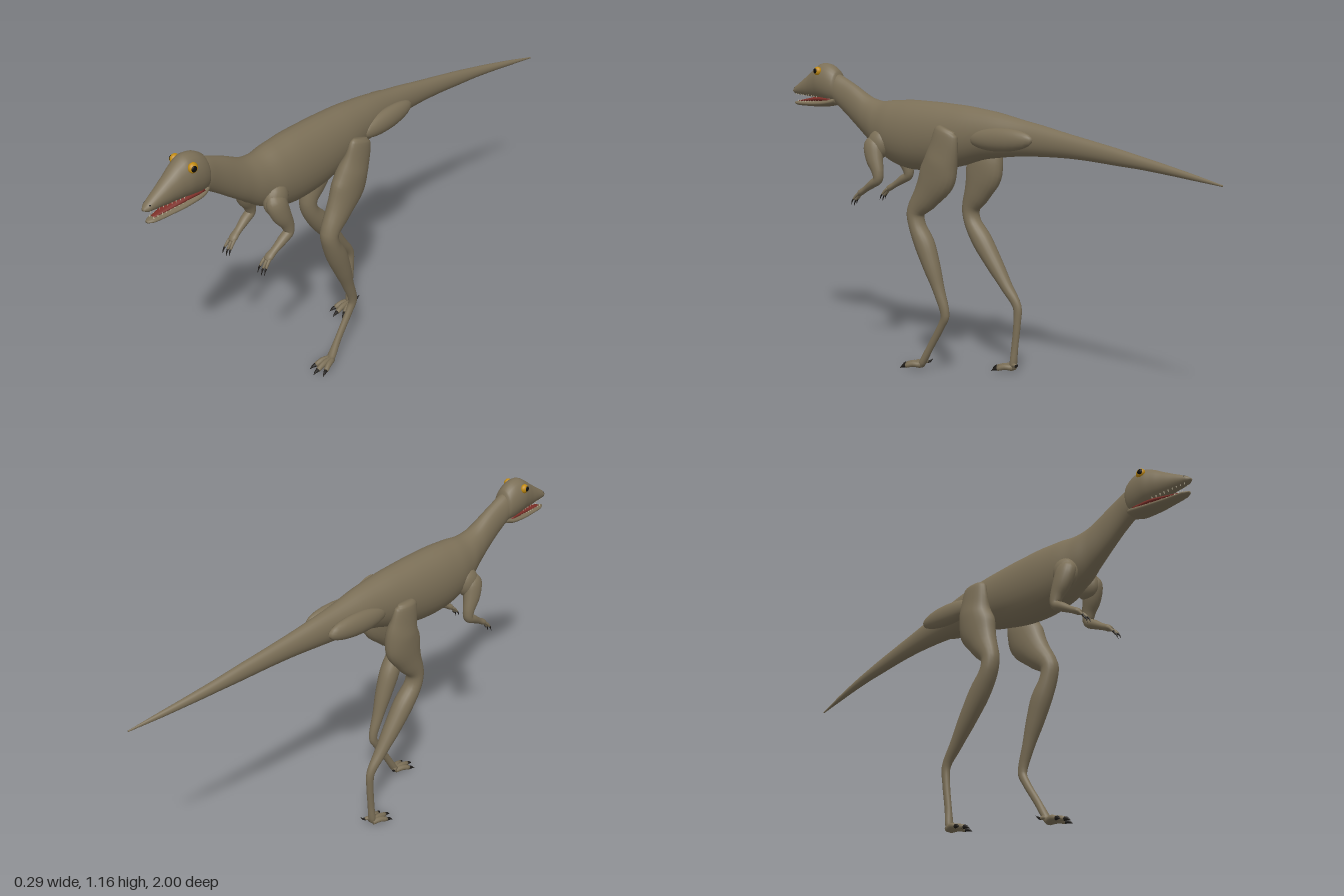
import * as THREE from 'three';

const mat = (name, color) => Object.assign(new THREE.MeshStandardMaterial({ color }), { name });
const skin = mat('skin', 0x7b6f57);
const claw = mat('claw', 0x1e1b18);
const iris = mat('iris', 0xc08a12);
const black = mat('pupil', 0x0c0b0a);
const mouthRed = mat('mouth', 0x7c2f28);
const ivory = mat('teeth', 0xd8cfb4);

// Smooth skin over elliptical sections [x, y, z, halfWidth, halfDepth]
function loft(name, sections, { sides = 20, steps = 4, upright = false, material = skin } = {}) {
  const path = new THREE.CatmullRomCurve3(sections.map(s => new THREE.Vector3(s[0], s[1], s[2])));
  const size = new THREE.CatmullRomCurve3(sections.map(s => new THREE.Vector3(s[3], s[4], 0)), false, 'catmullrom', 0.4);
  const n = (sections.length - 1) * steps;
  const pos = [], index = [];
  for (let i = 0; i <= n; i++) {
    const c = path.getPoint(i / n), r = size.getPoint(i / n);
    const t = upright ? new THREE.Vector3(0, 0, 1) : path.getTangent(i / n);
    const side = new THREE.Vector3(1, 0, 0).addScaledVector(t, -t.x).normalize();
    const up = new THREE.Vector3().crossVectors(t, side);
    for (let j = 0; j < sides; j++) {
      const a = j / sides * Math.PI * 2;
      const p = c.clone()
        .addScaledVector(side, Math.cos(a) * Math.max(r.x, 0.0005))
        .addScaledVector(up, Math.sin(a) * Math.max(r.y, 0.0005));
      pos.push(p.x, p.y, p.z);
      if (i === n) continue;
      const p0 = i * sides + j, p1 = i * sides + (j + 1) % sides;
      index.push(p0, p1, p0 + sides, p1, p1 + sides, p0 + sides);
    }
  }
  // End caps
  for (const [row, flip] of [[0, true], [n, false]]) {
    const c = path.getPoint(row / n), k = pos.length / 3;
    pos.push(c.x, c.y, c.z);
    for (let j = 0; j < sides; j++) {
      const a = row * sides + j, b = row * sides + (j + 1) % sides;
      index.push(k, flip ? b : a, flip ? a : b);
    }
  }
  const g = new THREE.BufferGeometry();
  g.setAttribute('position', new THREE.Float32BufferAttribute(pos, 3));
  g.setIndex(index);
  g.computeVertexNormals();
  const m = new THREE.Mesh(g, material);
  m.name = name;
  return m;
}

function blob(name, material, [x, y, z], [rx, ry, rz], tilt = 0) {
  const m = new THREE.Mesh(new THREE.SphereGeometry(1, 20, 14), material);
  m.name = name;
  m.position.set(x, y, z);
  m.scale.set(rx, ry, rz);
  m.rotation.x = tilt;
  return m;
}

// Sections given as [z, top, bottom, halfWidth, x]
const profile = rows => rows.map(([z, top, bot, w, x = 0]) => [x, (top + bot) / 2, z, w, (top - bot) / 2]);

// Toe or finger with a dark claw at its tip
function digit(name, from, to, r, clawLength, drop) {
  const a = new THREE.Vector3(...from), b = new THREE.Vector3(...to);
  const mid = a.clone().lerp(b, 0.5);
  mid.y += r * 0.5;
  const dir = b.clone().sub(a).normalize();
  const tip = b.clone().addScaledVector(dir, clawLength);
  tip.y -= drop;
  const g = new THREE.Group();
  g.name = name;
  g.add(loft(name + 'Flesh', [[...a, r, r], [...mid, r, r], [...b, r * 0.8, r * 0.8]], { sides: 10, steps: 3 }));
  const root = b.clone().addScaledVector(dir, -r * 0.4);
  const bend = root.clone().lerp(tip, 0.5);
  bend.y += drop * 0.4;
  g.add(loft(name + 'Claw', [[...root, r * 0.75, r * 0.75], [...bend, r * 0.5, r * 0.55], [...tip, 0.0005, 0.0005]],
    { sides: 8, steps: 3, material: claw }));
  return g;
}

function makeHead() {
  const head = new THREE.Group();
  head.name = 'head';
  head.add(loft('skull', profile([
    [0.735, 1.105, 1.035, 0.022], [0.75, 1.14, 1.012, 0.042], [0.785, 1.162, 1.012, 0.05], [0.825, 1.167, 1.02, 0.051],
    [0.86, 1.15, 1.025, 0.044], [0.9, 1.122, 1.029, 0.035], [0.95, 1.09, 1.034, 0.025], [0.985, 1.068, 1.038, 0.017],
    [1.0, 1.054, 1.046, 0.006]]), { upright: true, sides: 24 }));
  head.add(loft('lowerJaw', profile([
    [0.745, 1.035, 1.005, 0.03], [0.78, 1.026, 0.995, 0.038], [0.85, 1.016, 0.99, 0.034], [0.92, 1.011, 0.99, 0.025],
    [0.97, 1.009, 0.992, 0.018], [0.99, 1.005, 0.997, 0.007]]), { upright: true }));
  head.add(loft('mouthLining', profile([
    [0.77, 1.034, 1.008, 0.032], [0.84, 1.034, 1.01, 0.029], [0.91, 1.022, 1.008, 0.018], [0.965, 1.012, 1.006, 0.008]]),
    { upright: true, material: mouthRed }));
  for (const s of [1, -1]) {
    head.add(blob('eye', iris, [s * 0.041, 1.135, 0.822], [0.014, 0.018, 0.018]));
    head.add(blob('pupil', black, [s * 0.051, 1.136, 0.825], [0.005, 0.011, 0.011]));
    head.add(blob('nostril', black, [s * 0.012, 1.063, 0.98], [0.004, 0.003, 0.004]));
    // Teeth along both jaws
    for (let i = 0; i < 9; i++) {
      const z = 0.85 + i * 0.016, w = 0.03 - i * 0.0022;
      for (const upper of [true, false]) {
        const tooth = new THREE.Mesh(new THREE.ConeGeometry(0.0028, 0.011, 6), ivory);
        tooth.name = upper ? 'upperTooth' : 'lowerTooth';
        tooth.position.set(s * w * 0.75, upper ? 1.029 + i * 0.0011 : 1.014 - i * 0.0005, z - (upper ? 0 : 0.01));
        if (upper) tooth.rotation.x = Math.PI;
        head.add(tooth);
      }
    }
  }
  return head;
}

function makeArm(s) {
  const arm = new THREE.Group();
  arm.name = s > 0 ? 'leftArm' : 'rightArm';
  arm.add(loft('armLimb', [
    [s * 0.06, 0.89, 0.5, 0.015, 0.02], [s * 0.074, 0.86, 0.5, 0.03, 0.04], [s * 0.083, 0.81, 0.487, 0.03, 0.037],
    [s * 0.09, 0.76, 0.465, 0.022, 0.025], [s * 0.092, 0.728, 0.462, 0.019, 0.019], [s * 0.091, 0.71, 0.49, 0.018, 0.017],
    [s * 0.088, 0.685, 0.53, 0.014, 0.012], [s * 0.086, 0.67, 0.555, 0.017, 0.012], [s * 0.085, 0.66, 0.568, 0.012, 0.008]]));
  for (const k of [-1, 0, 1])
    arm.add(digit('finger', [s * 0.085 + k * 0.01, 0.668, 0.558], [s * 0.085 + k * 0.014, 0.637 + Math.abs(k) * 0.005, 0.585],
      0.0055, 0.016, 0.012));
  return arm;
}

// Leg radii from hip to sole, with distance from the body's midline
const legShape = [
  [0.108, 0.012, 0.035], [0.11, 0.022, 0.052], [0.108, 0.03, 0.062], [0.1, 0.045, 0.072], [0.098, 0.045, 0.08],
  [0.098, 0.04, 0.058], [0.101, 0.034, 0.036], [0.101, 0.035, 0.032], [0.098, 0.038, 0.04], [0.097, 0.033, 0.034],
  [0.095, 0.023, 0.023], [0.094, 0.015, 0.018], [0.092, 0.013, 0.015], [0.089, 0.012, 0.014], [0.088, 0.016, 0.014],
  [0.088, 0.012, 0.01]];

function makeLeg(s, path) {
  const leg = new THREE.Group();
  leg.name = s > 0 ? 'leftLeg' : 'rightLeg';
  leg.add(loft('legLimb', path.map(([y, z], i) => [s * legShape[i][0], y, z, legShape[i][1], legShape[i][2]])));
  const [, z] = path[path.length - 1], x = s * 0.088;
  for (const k of [-1, 0, 1])
    leg.add(digit('toe', [x + k * 0.007, 0.021, z - 0.004], [x + k * 0.026, 0.014, z + 0.07 - Math.abs(k) * 0.016],
      0.0115, 0.026, 0.008));
  leg.add(digit('rearToe', [x - s * 0.006, 0.028, z], [x - s * 0.016, 0.034, z - 0.025], 0.008, 0.018, -0.008));
  return leg;
}

export function createModel() {
  const model = new THREE.Group();
  model.name = 'dinosaur';

  // Tail, trunk and neck in one skin
  model.add(loft('body', profile([
    [-1.0, 0.818, 0.812, 0.002, 0.082], [-0.85, 0.85, 0.825, 0.011, 0.058], [-0.7, 0.88, 0.838, 0.017, 0.038],
    [-0.55, 0.91, 0.847, 0.022, 0.024], [-0.4, 0.937, 0.855, 0.028, 0.012], [-0.2, 0.975, 0.852, 0.042],
    [0.0, 1.012, 0.83, 0.068], [0.12, 1.026, 0.795, 0.082], [0.24, 1.033, 0.77, 0.089], [0.35, 1.036, 0.767, 0.09],
    [0.44, 1.032, 0.785, 0.084], [0.52, 1.026, 0.826, 0.067], [0.58, 1.042, 0.872, 0.051], [0.64, 1.075, 0.918, 0.041],
    [0.7, 1.105, 0.965, 0.036], [0.75, 1.125, 1.0, 0.036], [0.78, 1.12, 1.015, 0.028]]),
    { upright: true, sides: 28, steps: 5 }));
  model.add(makeHead());

  for (const s of [1, -1]) {
    model.add(blob('hipMuscle', skin, [s * 0.058, 0.911, -0.1], [0.03, 0.043, 0.142], 0.04));
    model.add(blob('shoulder', skin, [s * 0.06, 0.86, 0.485], [0.036, 0.06, 0.05], -0.3));
    model.add(makeArm(s));
  }

  // Striding legs as [y, z] from hip to sole
  model.add(makeLeg(1, [
    [0.944, 0.105], [0.93, 0.11], [0.88, 0.12], [0.82, 0.14], [0.76, 0.163], [0.69, 0.21], [0.62, 0.264], [0.57, 0.258],
    [0.5, 0.225], [0.42, 0.193], [0.33, 0.16], [0.235, 0.131], [0.195, 0.148], [0.1, 0.207], [0.035, 0.245], [0.016, 0.256]]));
  model.add(makeLeg(-1, [
    [0.944, 0.09], [0.93, 0.09], [0.88, 0.085], [0.82, 0.08], [0.76, 0.092], [0.69, 0.12], [0.62, 0.155], [0.57, 0.148],
    [0.5, 0.1], [0.42, 0.043], [0.33, -0.022], [0.262, -0.07], [0.2, -0.072], [0.1, -0.063], [0.04, -0.058], [0.018, -0.055]]));
  return model;
}
